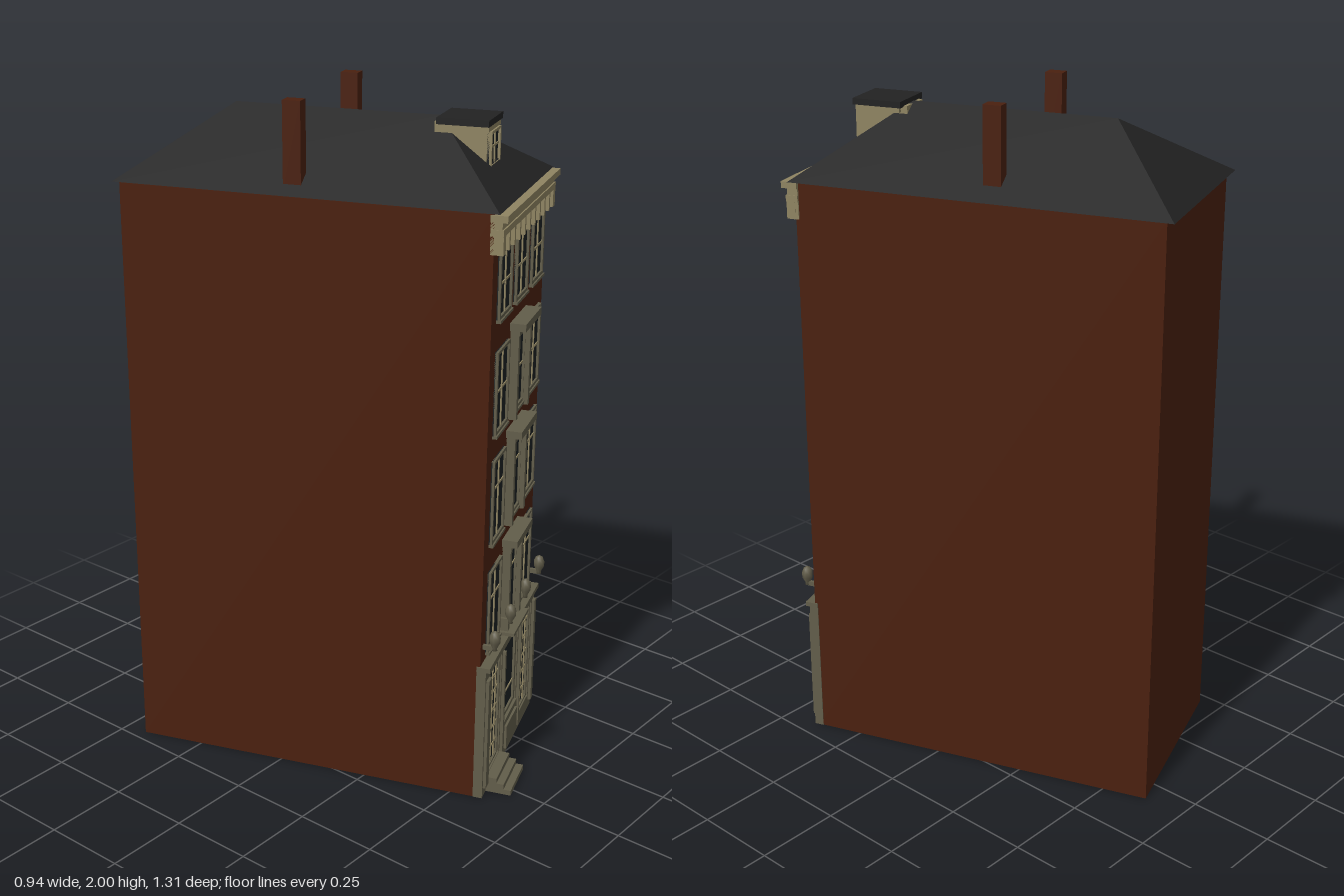
import * as THREE from 'three';

const mat = (name, color) => {
  const m = new THREE.MeshStandardMaterial({ color });
  m.name = name;
  return m;
};

export function createModel() {
  const brick = mat('brick', 0x4a200f);
  const slate = mat('slate', 0x222222);
  const stone = mat('stone', 0x625d4a);
  const cream = mat('cream', 0x8f8462);
  const glass = mat('glass', 0x1c2022);

  const model = new THREE.Group();
  const house = new THREE.Group();
  house.name = 'house';
  house.rotation.y = THREE.MathUtils.degToRad(20);
  model.add(house);

  // Box given by its limits on each axis
  const box = (name, m, x0, x1, y0, y1, z0, z1, parent = house) => {
    const mesh = new THREE.Mesh(new THREE.BoxGeometry(x1 - x0, y1 - y0, z1 - z0), m);
    mesh.position.set((x0 + x1) / 2, (y0 + y1) / 2, (z0 + z1) / 2);
    mesh.name = name;
    parent.add(mesh);
    return mesh;
  };
  const group = (name) => {
    const g = new THREE.Group();
    g.name = name;
    house.add(g);
    return g;
  };

  const L = -0.29, R = 0.284, FRONT = 0.508, BACK = -0.562;
  box('walls', brick, L, R, 0, 1.75, BACK, FRONT);

  // Hipped roof: four eave corners and two ridge ends
  const e = 1.75, t = 1.937;
  const A = [-0.288, e, 0.522], B = [0.304, e, 0.522], C = [0.304, e, -0.587], D = [-0.288, e, -0.587];
  const F = [0.006, t, 0.272], K = [0.006, t, -0.332];
  const faces = [A, B, F, B, C, K, B, K, F, C, D, K, D, A, F, D, F, K, A, D, C, A, C, B];
  const roofGeo = new THREE.BufferGeometry();
  roofGeo.setAttribute('position', new THREE.Float32BufferAttribute(faces.flat(), 3));
  roofGeo.computeVertexNormals();
  const roof = new THREE.Mesh(roofGeo, slate);
  roof.name = 'roof';
  house.add(roof);

  // Chimneys
  for (const x of [-0.23, 0.23]) box('chimney', brick, x - 0.02, x + 0.02, 1.75, 2, -0.092, -0.04);

  // Window: glass, frame and glazing bars; cols and rows list bar positions
  const window = (name, x0, x1, y0, y1, z, cols, rows, frame = stone, f = 0.009) => {
    const g = group(name);
    box('pane', glass, x0, x1, y0, y1, z - 0.01, z + 0.003, g);
    for (const [a, b] of [[x0, x0 + f], [x1 - f, x1]]) box('frameSide', frame, a, b, y0, y1, z - 0.01, z + 0.01, g);
    for (const [a, b] of [[y0, y0 + f], [y1 - f, y1]]) box('frameRail', frame, x0, x1, a, b, z - 0.01, z + 0.0095, g);
    for (const c of cols) {
      const x = x0 + (x1 - x0) * c;
      box('uprightBar', cream, x - 0.003, x + 0.003, y0 + f, y1 - f, z, z + 0.007, g);
    }
    for (const r of rows) {
      const y = y0 + (y1 - y0) * r;
      box('crossBar', cream, x0 + f, x1 - f, y - 0.003, y + 0.003, z, z + 0.006, g);
    }
    return g;
  };

  // Upper floors: [sill, head, cross bar height, has a framed middle window]
  const floors = [
    [0.454, 0.705, 0.64, true],
    [0.793, 1.043, 0.64, true],
    [1.12, 1.36, 0.5, true],
    [1.45, 1.64, 0.5, false],
  ];
  const mid = 0.003;
  for (const [y0, y1, bar, framed] of floors) {
    for (const x of [mid - 0.178, mid, mid + 0.178]) {
      window('window', x - 0.065, x + 0.065, y0, y1, FRONT, [0.5], [bar]);
      box('windowSill', stone, x - 0.067, x + 0.067, y0 - 0.008, y0, FRONT - 0.01, FRONT + 0.014);
    }
    if (!framed) continue;
    // Pilasters and stepped hood around the middle window
    for (const s of [-1, 1]) {
      box('windowPilaster', stone, mid + s * 0.067 - 0.009, mid + s * 0.067 + 0.009, y0 - 0.012, y1, FRONT - 0.01, FRONT + 0.024);
    }
    box('hoodFrieze', stone, mid - 0.078, mid + 0.078, y1 - 0.004, y1 + 0.018, FRONT - 0.01, FRONT + 0.026);
    box('hoodTop', stone, mid - 0.089, mid + 0.089, y1 + 0.014, y1 + 0.036, FRONT - 0.01, FRONT + 0.046);
  }

  // Stone ground floor
  const gz = 0.526;
  const shop = group('groundFloor');
  box('plinthTop', stone, L - 0.002, R + 0.002, 0.385, 0.425, FRONT - 0.01, gz, shop);
  box('ledge', stone, L - 0.004, R + 0.004, 0.418, 0.432, FRONT - 0.01, gz + 0.012, shop);
  box('plinth', stone, L - 0.002, R + 0.002, 0, 0.05, FRONT - 0.01, gz, shop);
  for (const [a, b] of [[L - 0.002, -0.245], [-0.107, -0.078], [0.084, 0.11], [0.248, R + 0.002]]) {
    box('pier', stone, a, b, 0, 0.4, FRONT - 0.01, gz, shop);
    box('pierFace', stone, a + 0.008, b - 0.008, 0.03, 0.385, FRONT, gz + 0.009, shop);
  }
  const thirds = [0.25, 0.5, 0.75];
  window('frontDoor', -0.247, -0.105, 0.045, 0.388, FRONT + 0.004, thirds, [0.17, 0.35, 0.52, 0.7, 0.85], stone, 0.012);
  window('shopWindow', 0.108, 0.25, 0.045, 0.388, FRONT + 0.004, thirds, [0.17, 0.35, 0.52, 0.7, 0.85], stone, 0.012);
  window('middleShopWindow', -0.08, 0.086, 0.125, 0.388, FRONT + 0.004, [], [0.3], stone, 0.016);
  box('middlePanel', stone, -0.08, 0.086, 0.02, 0.13, FRONT, gz + 0.004);
  box('middlePanelRaised', stone, -0.06, 0.066, 0.035, 0.112, FRONT, gz + 0.011);
  box('middleLedge', stone, -0.084, 0.09, 0.432, 0.442, FRONT - 0.01, FRONT + 0.046);

  // Entrance steps
  for (let i = 0; i < 3; i++) {
    box('step', stone, -0.25, -0.1, i * 0.016, (i + 1) * 0.016, FRONT, 0.602 - i * 0.022);
  }

  // Wall ornaments above the piers
  const urnPoints = [[0, 0], [0.008, 0.004], [0.007, 0.012], [0.016, 0.03], [0.017, 0.046], [0.011, 0.06], [0, 0.066]];
  const urnGeo = new THREE.LatheGeometry(urnPoints.map(([x, y]) => new THREE.Vector2(x, y)), 8);
  for (const x of [-0.264, -0.088, 0.09, 0.262]) {
    const urn = new THREE.Mesh(urnGeo, stone);
    urn.name = 'urn';
    urn.position.set(x, 0.475, 0.542);
    house.add(urn);
    box('urnBracket', stone, x - 0.005, x + 0.005, 0.478, 0.492, FRONT - 0.01, 0.54);
  }

  // Main cornice with brackets
  box('corniceFrieze', cream, L, R + 0.004, 1.642, 1.695, FRONT - 0.01, 0.522);
  box('corniceLower', cream, L - 0.002, R + 0.008, 1.692, 1.71, FRONT - 0.01, 0.534);
  box('corniceMiddle', cream, L, R + 0.006, 1.71, 1.73, FRONT - 0.01, 0.53);
  box('corniceUpper', cream, L - 0.004, R + 0.012, 1.73, 1.749, FRONT - 0.01, 0.545);
  for (let i = 0; i < 11; i++) {
    const x = -0.278 + i * 0.0555;
    const w = i % 10 === 0 ? 0.012 : 0.006;
    box('corniceBracket', cream, x - w, x + w, 1.642, 1.693, FRONT, 0.534);
  }

  // Dormer
  box('dormerBody', cream, -0.05, 0.052, 1.805, 1.93, 0.27, 0.418);
  window('dormerWindow', -0.048, 0.05, 1.812, 1.912, 0.421, [0.5], [0.55], cream, 0.008);
  box('dormerSill', cream, -0.052, 0.054, 1.803, 1.812, 0.4, 0.435);
  box('dormerEave', cream, -0.062, 0.064, 1.912, 1.928, 0.29, 0.425);
  box('dormerRoof', slate, -0.072, 0.074, 1.927, 1.945, 0.281, 0.428);

  return model;
}
